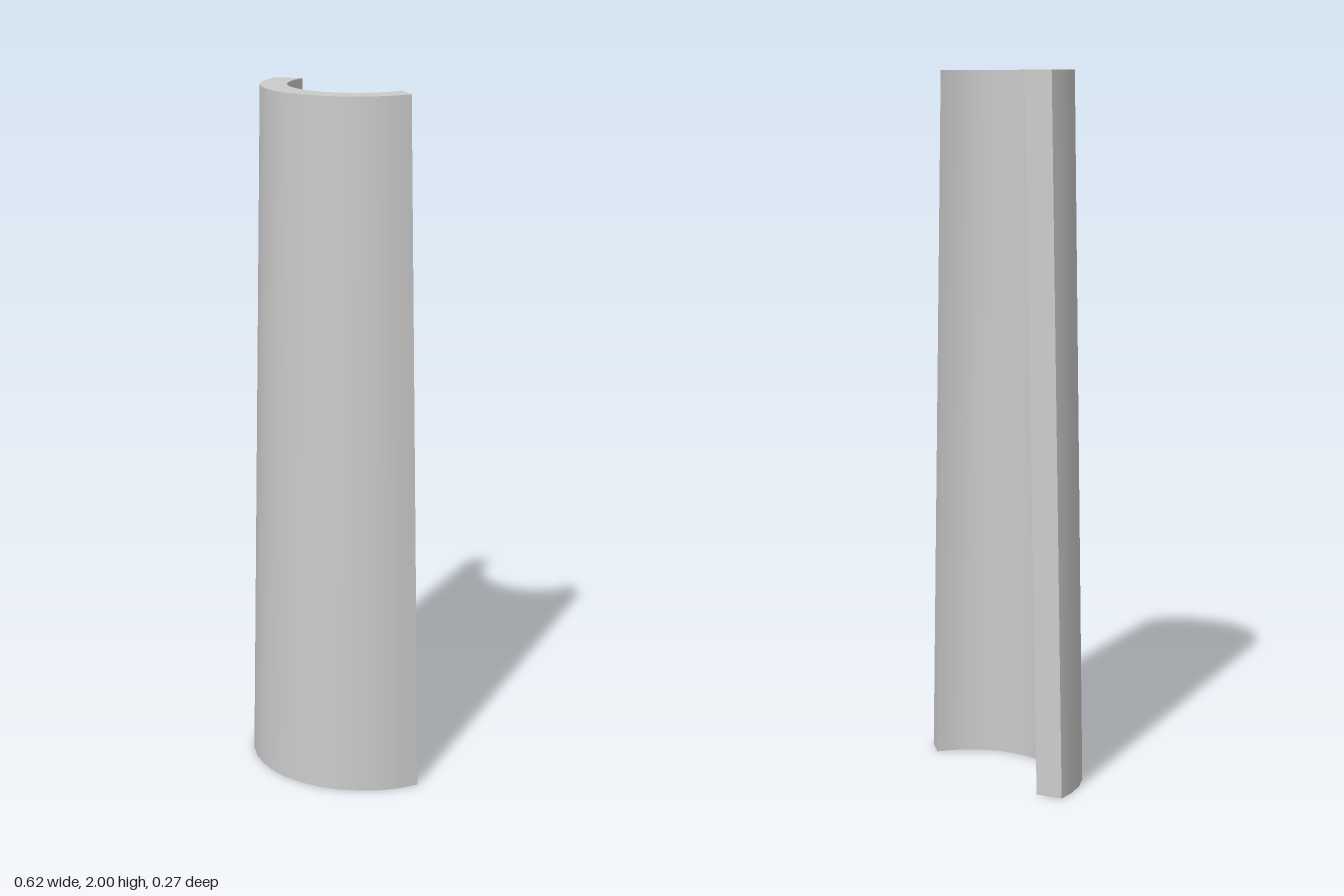
import * as THREE from 'three';
import { mergeGeometries } from 'three/addons/utils/BufferGeometryUtils.js';

const SEGMENTS = 14;

// Arc bulging toward +z, running from -x to +x, given its end point and its middle z
function arc(endX, endZ, midZ, y) {
  const rise = midZ - endZ;
  const r = (endX * endX + rise * rise) / (2 * rise);
  const cz = midZ - r;
  const half = Math.atan2(endX, endZ - cz);
  return Array.from({ length: SEGMENTS + 1 }, (_, i) => {
    const a = half * (2 * i / SEGMENTS - 1);
    return new THREE.Vector3(r * Math.sin(a), y, cz + r * Math.cos(a));
  });
}

// Ruled surface from line a to line b, with its own smooth normals
function strip(a, b) {
  const index = [];
  const n = a.length;
  for (let i = 0; i < n - 1; i++) {
    index.push(i, i + 1, n + i + 1, i, n + i + 1, n + i);
  }
  const g = new THREE.BufferGeometry().setFromPoints([...a, ...b]);
  g.setIndex(index);
  g.computeVertexNormals();
  return g;
}

export function createModel() {
  const group = new THREE.Group();
  group.name = 'taperedHalfShell';

  const outerBottom = arc(0.312, -0.1, 0.132, 0);
  const innerBottom = arc(0.243, -0.135, 0.056, 0);
  const outerTop = arc(0.257, -0.098, 0.113, 2);
  const innerTop = arc(0.188, -0.135, 0.037, 2);
  const reversed = (line) => [...line].reverse();
  const last = SEGMENTS;

  const geometry = mergeGeometries([
    // curved walls
    strip(outerBottom, outerTop),
    strip(reversed(innerBottom), reversed(innerTop)),
    // top and bottom rims
    strip(outerTop, innerTop),
    strip(innerBottom, outerBottom),
    // long straight edges
    strip([outerBottom[last], innerBottom[last]], [outerTop[last], innerTop[last]]),
    strip([innerBottom[0], outerBottom[0]], [innerTop[0], outerTop[0]]),
  ]);

  const shell = new THREE.Mesh(geometry, new THREE.MeshStandardMaterial({ color: 0xcccccc }));
  shell.name = 'curvedShell';
  group.add(shell);
  return group;
}
